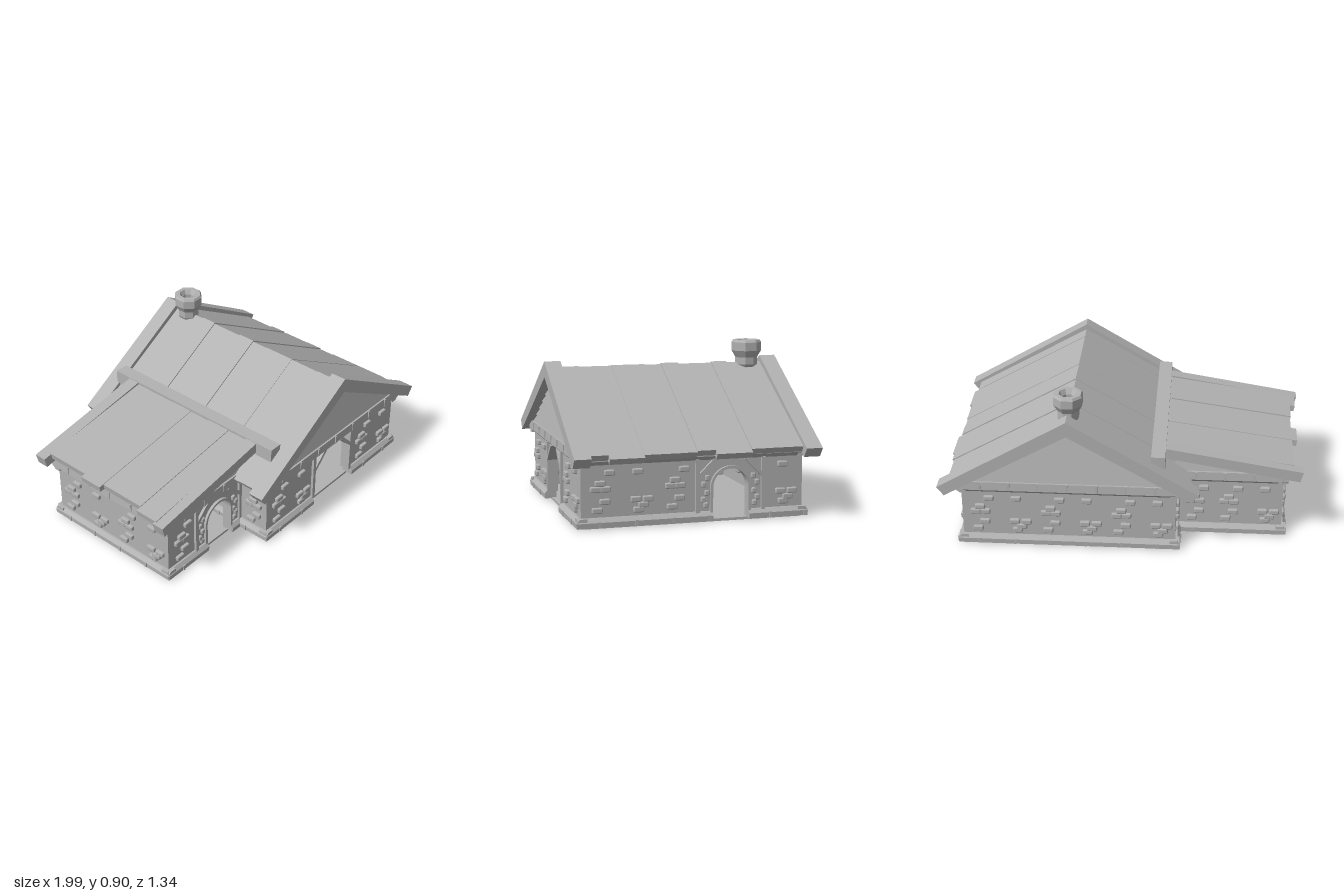
import * as THREE from 'three';
import { RoundedBoxGeometry } from 'three/addons/geometries/RoundedBoxGeometry.js';

const stone = new THREE.MeshStandardMaterial({ color: 0xb2b2b2 });
stone.name = 'plain grey';

function add(parent, name, geometry, x = 0, y = 0, z = 0) {
  const mesh = new THREE.Mesh(geometry, stone);
  mesh.name = name;
  mesh.position.set(x, y, z);
  parent.add(mesh);
  return mesh;
}

// box given by its min and max corners
function span(parent, name, x0, x1, y0, y1, z0, z1) {
  return add(parent, name, new THREE.BoxGeometry(x1 - x0, y1 - y0, z1 - z0),
    (x0 + x1) / 2, (y0 + y1) / 2, (z0 + z1) / 2);
}

// polygon in x,y extruded from z0 to z1
function prism(parent, name, points, z0, z1) {
  const shape = new THREE.Shape(points.map(([x, y]) => new THREE.Vector2(x, y)));
  const geometry = new THREE.ExtrudeGeometry(shape, { depth: z1 - z0, bevelEnabled: false });
  return add(parent, name, geometry, 0, 0, z0);
}

// profile in (outward, up) run along a wall from u0 to u1
function moulding(parent, name, profile, u0, u1) {
  const mesh = prism(parent, name, profile.map(([o, y]) => [-o, y]), 0, u1 - u0);
  mesh.rotation.y = Math.PI / 2;
  mesh.position.x = u0;
  return mesh;
}

// diagonal or upright timber between two points on a wall face
function timber(parent, name, u0, y0, u1, y1, width) {
  const length = Math.hypot(u1 - u0, y1 - y0);
  const mesh = add(parent, name, new THREE.BoxGeometry(width, length, 0.06), (u0 + u1) / 2, (y0 + y1) / 2, -0.015);
  mesh.rotation.z = -Math.atan2(u1 - u0, y1 - y0);
}

const brickGeometry = new RoundedBoxGeometry(0.056, 0.03, 0.076, 1, 0.007);
const stoneGeometry = new RoundedBoxGeometry(0.026, 0.03, 0.07, 1, 0.007);
const bricks = [[0.15, 0.29], [0.1, 0.235], [0.075, 0.205], [0.128, 0.205], [0.3, 0.29], [0.125, 0.14],
  [0.085, 0.095], [0.29, 0.145], [0.355, 0.145], [0.33, 0.115], [0.305, 0.09]];
const skirtProfile = [[-0.03, 0.008], [0.026, 0.008], [0.028, 0.036], [0.01, 0.058], [-0.03, 0.058]];
const bandProfile = [[-0.03, 0.33], [0.004, 0.33], [0.028, 0.352], [0.024, 0.4], [-0.03, 0.4]];

// bays: [type, start, width, shift of the brick pattern]
function wall(parent, name, x, z, angle, length, bays) {
  const group = new THREE.Group();
  group.name = name;
  group.position.set(x, 0, z);
  group.rotation.y = angle;
  parent.add(group);
  const shape = new THREE.Shape();
  shape.moveTo(0, 0.008);
  let skirtStart = -0.024;
  const skirt = (from, to) => {
    moulding(group, 'skirting', skirtProfile, from, to);
    for (let u = from + 0.11; u < to - 0.02; u += 0.197)
      span(group, 'skirtingJoint', u, u + 0.014, 0.01, 0.04, 0, 0.032);
  };
  for (const [type, start, width, shift = 0] of bays) {
    const end = start + width, c = start + width / 2;
    if (type === 'brick') {
      for (const [u, y] of bricks)
        if (u - shift > 0.03 && u - shift < width - 0.02) add(group, 'brick', brickGeometry, start + u - shift, y, -0.02);
      continue;
    }
    const half = type === 'arch' ? 0.1 : width / 2;
    shape.lineTo(c - half, 0.008);
    if (type === 'arch') {
      shape.lineTo(c - half, 0.182);
      shape.absarc(c, 0.182, half, Math.PI, 0, true);
      // raised arch surround
      const ring = new THREE.Shape();
      ring.moveTo(c - 0.112, 0.01);
      ring.lineTo(c - 0.112, 0.182);
      ring.absarc(c, 0.182, 0.112, Math.PI, 0, true);
      ring.lineTo(c + 0.112, 0.01);
      ring.lineTo(c + 0.098, 0.01);
      ring.lineTo(c + 0.098, 0.182);
      ring.absarc(c, 0.182, 0.098, 0, Math.PI, false);
      ring.lineTo(c - 0.098, 0.01);
      add(group, 'archSurround', new THREE.ExtrudeGeometry(ring, { depth: 0.06, bevelEnabled: false }), 0, 0, -0.045);
      for (const s of [-1, 1])
        for (const [d, y] of [[0.135, 0.09], [0.15, 0.12], [0.13, 0.155], [0.148, 0.2], [0.127, 0.235]])
          add(group, 'archStone', stoneGeometry, c + s * d, y, -0.02);
    } else {
      shape.lineTo(c - half, 0.328);
      shape.lineTo(c + half, 0.328);
    }
    shape.lineTo(c + half, 0.008);
    skirt(skirtStart, c - half);
    skirtStart = c + half;
    // posts and corner braces
    for (const s of [-1, 1]) {
      const edge = c + s * (width / 2 - 0.008);
      timber(group, 'post', edge, 0.05, edge, 0.335, 0.022);
      timber(group, 'brace', edge, 0.235, edge - s * 0.1, 0.335, 0.02);
    }
  }
  skirt(skirtStart, length + 0.024);
  shape.lineTo(length, 0.008);
  shape.lineTo(length, 0.36);
  shape.lineTo(0, 0.36);
  add(group, 'wallPanel', new THREE.ExtrudeGeometry(shape, { depth: 0.04, bevelEnabled: false, curveSegments: 10 }), 0, 0, -0.04);
  // top band with joint blocks
  moulding(group, 'topBand', bandProfile, -0.024, length + 0.024);
  for (let u = 0.1; u < length; u += 0.16) span(group, 'bandJoint', u, u + 0.012, 0.353, 0.398, 0, 0.031);
}

// overlapping siding board, lower edge leaning out
function clapboard(parent, y, height, x0, x1, top0, top1, z, facing) {
  const group = new THREE.Group();
  group.name = 'gableBoard';
  group.position.set(0, y, z);
  group.rotation.x = -facing * 0.22;
  parent.add(group);
  prism(group, 'board', [[x0, 0], [x1, 0], [top1, height], [top0, height]], -0.008, 0.008);
}

export function createModel() {
  const house = new THREE.Group();
  house.name = 'house';
  const Q = Math.PI / 2, ridge = 0.28;

  // floors
  span(house, 'mainFloor', -0.31, 0.87, 0, 0.014, -0.59, 0.59);
  span(house, 'wingFloor', -0.89, -0.3, 0, 0.014, -0.41, 0.4);

  // walls of the main block and of the wing
  wall(house, 'frontWall', -0.31, 0.605, 0, 1.18,
    [['brick', 0, 0.4], ['open', 0.405, 0.365], ['brick', 0.775, 0.4]]);
  wall(house, 'rightWall', 0.87, 0.605, Q, 1.21,
    [['brick', 0, 0.4], ['brick', 0.4, 0.215], ['arch', 0.615, 0.38], ['brick', 0.995, 0.215, 0.2]]);
  wall(house, 'backWall', 0.87, -0.605, 2 * Q, 1.18,
    [['brick', 0, 0.4], ['brick', 0.39, 0.4], ['brick', 0.78, 0.4]]);
  wall(house, 'leftWall', -0.31, -0.605, -Q, 1.21,
    [['brick', 0, 0.19], ['brick', 1.02, 0.19]]);
  wall(house, 'wingFrontWall', -0.9, 0.41, 0, 0.59,
    [['brick', 0, 0.21], ['arch', 0.21, 0.38]]);
  wall(house, 'wingLeftWall', -0.9, -0.42, -Q, 0.83,
    [['brick', 0, 0.4], ['brick', 0.42, 0.4]]);
  wall(house, 'wingBackWall', -0.31, -0.42, 2 * Q, 0.59,
    [['brick', 0, 0.2], ['brick', 0.19, 0.4]]);

  // attic bodies and gable siding
  prism(house, 'mainAttic', [[-0.31, 0.34], [0.87, 0.34], [0.87, 0.385], [ridge, 0.735], [-0.31, 0.385]], -0.6, 0.6);
  prism(house, 'wingAttic', [[-0.9, 0.34], [-0.3, 0.34], [-0.3, 0.5], [-0.9, 0.4]], -0.415, 0.405);
  for (const s of [-1, 1]) {
    for (let i = 0; i < 7; i++) {
      const y = 0.395 + i * 0.05, reach = h => Math.max(0.004, (0.755 - h) / 0.59);
      clapboard(house, y, 0.05, ridge - reach(y), ridge + reach(y),
        ridge - reach(y + 0.05), ridge + reach(y + 0.05), s * 0.612, s);
    }
    for (const [y, x] of [[0.4, -0.9], [0.45, -0.62]])
      clapboard(house, y, 0.05, x, -0.3, x + 0.28, -0.3, s > 0 ? 0.417 : -0.427, s);
  }

  // main roof: planks [z0, z1, reach, lift] on both slopes
  const planks = [[-0.58, -0.38, 0.665, 0], [-0.38, -0.29, 0.675, 0.007], [-0.29, -0.095, 0.69, 0],
    [-0.095, 0.005, 0.67, 0.007], [0.005, 0.1, 0.67, 0], [0.1, 0.29, 0.675, 0.003],
    [0.29, 0.475, 0.69, 0], [0.475, 0.58, 0.665, 0.003]];
  for (const s of [-1, 1]) {
    for (const [z0, z1, r, lift] of planks) {
      const reach = s < 0 ? 0.67 : r, y = 0.772 + lift, low = y - reach * 0.575;
      const points = [[ridge, y], [ridge, y - 0.04], [ridge + s * (reach - 0.018), low - 0.03], [ridge + s * reach, low]];
      prism(house, 'roofPlank', s > 0 ? points : points.reverse(), z0, z1);
    }
    const [z0, z1] = s > 0 ? [0.575, 0.665] : [-0.67, -0.58];
    prism(house, 'gableRake', [[ridge, 0.806], [-0.43, 0.385], [-0.395, 0.334], [ridge, 0.72],
      [0.955, 0.334], [0.993, 0.385]], z0, z1);
  }

  // lean-to roof of the wing
  const leanTo = [[-0.43, -0.15, -0.95, 0], [-0.15, -0.01, -0.98, 0.003], [-0.01, 0.125, -0.95, 0],
    [0.125, 0.27, -0.955, 0.006], [0.27, 0.41, -0.985, 0.002]];
  for (const [z0, z1, x, lift] of leanTo) {
    const y = 0.56 + lift + (x + 0.24) * 0.15;
    prism(house, 'wingRoofPlank', [[x, y], [x + 0.006, y - 0.035], [-0.2, 0.525], [-0.2, 0.56 + lift]], z0, z1);
  }
  for (const [z0, z1] of [[0.4, 0.47], [-0.49, -0.42]])
    prism(house, 'wingRake', [[-1, 0.442], [-0.985, 0.382], [-0.22, 0.51], [-0.235, 0.567]], z0, z1);
  span(house, 'roofBeam', -0.247, -0.17, 0.49, 0.57, -0.595, 0.577);

  // eight-sided chimney pot
  const profile = [[0.045, 0.735], [0.062, 0.76], [0.062, 0.8], [0.084, 0.838], [0.084, 0.885], [0.075, 0.898],
    [0.052, 0.898], [0.036, 0.87], [0.036, 0.79], [0, 0.79]].map(([r, y]) => new THREE.Vector2(r, y));
  const pot = new THREE.LatheGeometry(profile, 8, Math.PI / 8).toNonIndexed();
  pot.computeVertexNormals();
  add(house, 'chimney', pot, ridge, 0, -0.5);

  return house;
}
